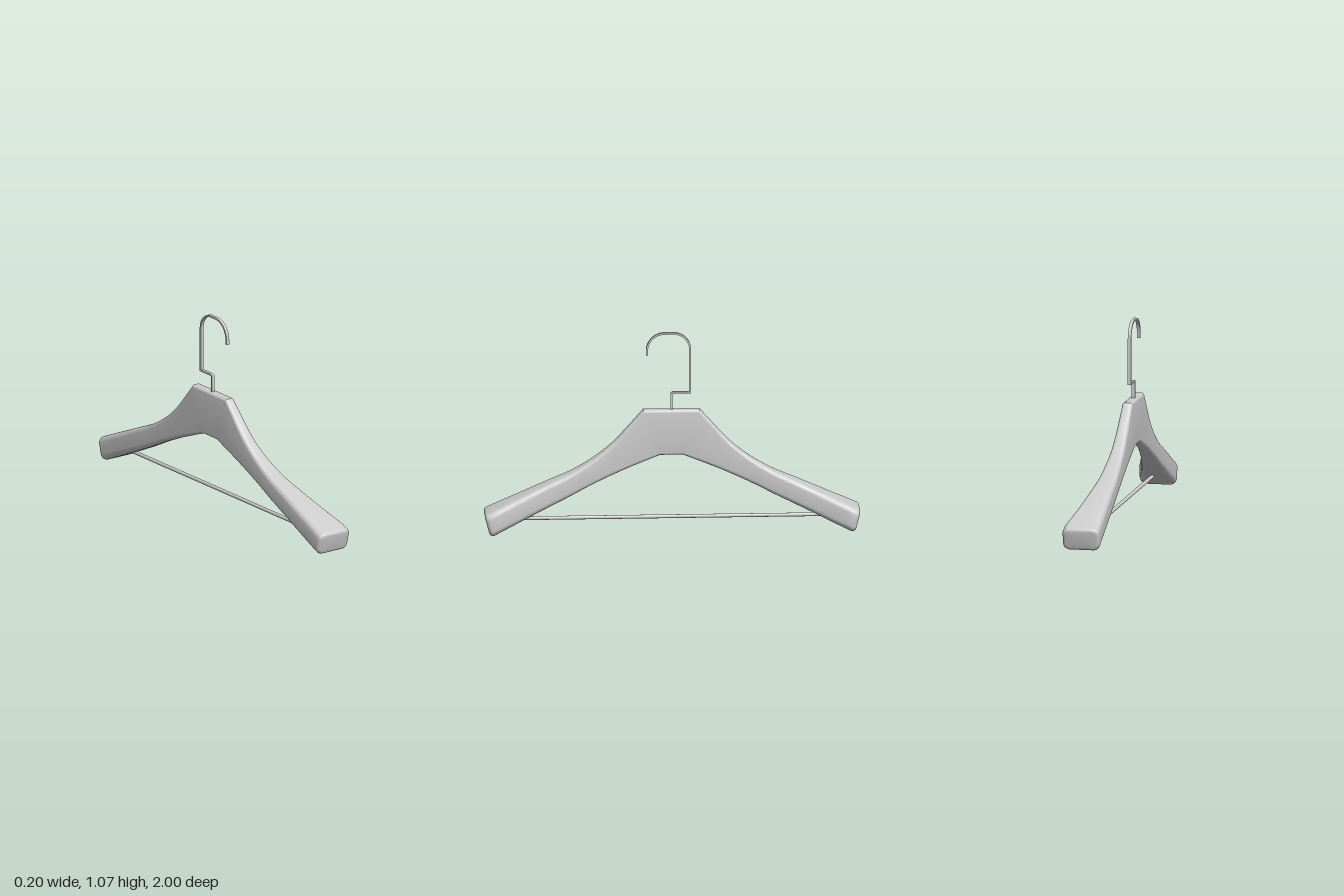
import * as THREE from 'three';
import { toCreasedNormals } from 'three/addons/utils/BufferGeometryUtils.js';

const BACK = -0.1;
const CORNER_STEPS = 6;
const CAP_ROUND = 0.02;

// Front face sweeps forward towards the shoulder tips.
const frontX = (z) => -0.05 + 0.15 * Math.pow(Math.min(Math.abs(z) / 0.95, 1), 1.85);

// Rounded cross-section between a top and a bottom point (z, y), counter-clockwise seen from +z.
function section(top, bottom, inset = 0, push = 0) {
  const up = top.clone().sub(bottom);
  const height = up.length();
  up.normalize();
  const out = new THREE.Vector2(up.y, -up.x);
  const r = 0.012 + 0.024 * top.x - inset;
  const ring = [];
  // corners: front top, back top, back bottom, front bottom
  [[1, 1], [-1, 1], [-1, -1], [1, -1]].forEach(([sx, sy], c) => {
    for (let i = 0; i <= CORNER_STEPS; i++) {
      const a = (c + i / CORNER_STEPS) * Math.PI / 2;
      const fromSide = inset + r - sx * r * Math.cos(a);
      const fromEdge = inset + r - sy * r * Math.sin(a);
      const v = sy > 0 ? height - fromEdge : fromEdge;
      const p = bottom.clone().addScaledVector(up, v);
      const x = sx > 0 ? frontX(p.x) - fromSide : BACK + fromSide;
      p.addScaledVector(out, push);
      ring.push(new THREE.Vector3(x, p.y, p.x));
    }
  });
  return ring;
}

// Mirror a ring in z, keeping its order.
const mirrored = (ring) => ring.map((p) => new THREE.Vector3(p.x, p.y, -p.z));

// Skin a list of rings that advance along +z and close both ends.
function loft(rings) {
  const n = rings[0].length;
  const points = rings.flat();
  const index = [];
  for (let i = 0; i < rings.length - 1; i++) {
    for (let j = 0; j < n; j++) {
      const k = (j + 1) % n;
      const a = i * n + j, b = i * n + k, c = b + n, d = a + n;
      index.push(a, b, d, b, c, d);
    }
  }
  [0, rings.length - 1].forEach((i) => {
    const centre = rings[i].reduce((s, p) => s.add(p), new THREE.Vector3()).divideScalar(n);
    const m = points.push(centre) - 1;
    for (let j = 0; j < n; j++) {
      const a = i * n + j, b = i * n + (j + 1) % n;
      if (i === 0) index.push(m, b, a);
      else index.push(m, a, b);
    }
  });
  const geometry = new THREE.BufferGeometry().setFromPoints(points);
  geometry.setIndex(index);
  return toCreasedNormals(geometry, 0.35);
}

// Wooden body: upper and lower outline of one arm, mirrored to the other.
function bodyGeometry() {
  const curve = (pts) => new THREE.SplineCurve(pts.map(([z, y]) => new THREE.Vector2(z, y)));
  const upper = curve([[0.15, 0.65], [0.22, 0.571], [0.3, 0.483], [0.38, 0.415], [0.46, 0.361],
    [0.55, 0.312], [0.65, 0.27], [0.8, 0.205], [0.9, 0.162], [0.985, 0.125]]);
  const lower = curve([[0.06, 0.4], [0.15, 0.365], [0.25, 0.325], [0.35, 0.282], [0.45, 0.236],
    [0.54, 0.191], [0.63, 0.149], [0.78, 0.08], [0.87, 0.038], [0.953, 0.001]]);
  const arm = [];
  const steps = 36;
  for (let i = 0; i <= steps; i++) {
    arm.push(section(upper.getPoint(i / steps), lower.getPoint(i / steps)));
  }
  // rounded edge around the tip
  for (let i = 1; i <= 6; i++) {
    const a = i / 6 * Math.PI / 2;
    arm.push(section(upper.getPoint(1), lower.getPoint(1),
      CAP_ROUND * (1 - Math.cos(a)), CAP_ROUND * Math.sin(a)));
  }
  return loft([...arm.map(mirrored).reverse(), ...arm]);
}

// Flat metal hook: a bent centre line thickened to a strip.
function hookGeometry() {
  const half = 0.005, width = 0.018;
  const path = new THREE.Path();
  path.moveTo(0, 0.62);
  path.lineTo(0, 0.73);
  path.quadraticCurveTo(0, 0.742, -0.012, 0.742);
  path.lineTo(-0.1, 0.742);
  path.lineTo(-0.1, 0.98);
  path.absarc(-0.01, 0.98, 0.09, Math.PI, Math.PI / 2, true);
  path.lineTo(0.035, 1.07);
  path.absarc(0.035, 0.975, 0.095, Math.PI / 2, 0, true);
  path.lineTo(0.13, 0.95);
  const pts = path.getPoints(14);
  const left = [], right = [];
  pts.forEach((p, i) => {
    const before = p.clone().sub(pts[Math.max(i - 1, 0)]).normalize();
    const after = pts[Math.min(i + 1, pts.length - 1)].clone().sub(p).normalize();
    const t = before.clone().add(after).normalize();
    const miter = half / Math.max(t.dot(i ? before : after), 0.5);
    const normal = new THREE.Vector2(-t.y, t.x).multiplyScalar(miter);
    left.push(p.clone().add(normal));
    right.push(p.clone().sub(normal));
  });
  const shape = new THREE.Shape([...left, ...right.reverse()]);
  const geometry = new THREE.ExtrudeGeometry(shape, { depth: width, bevelEnabled: false });
  geometry.rotateY(-Math.PI / 2);
  geometry.translate(-0.065, 0, 0);
  return toCreasedNormals(geometry, 0.5);
}

export function createModel() {
  const group = new THREE.Group();
  group.name = 'coatHanger';
  const material = new THREE.MeshStandardMaterial({ color: 0xcccccc });
  const add = (name, geometry) => {
    const mesh = new THREE.Mesh(geometry, material);
    mesh.name = name;
    group.add(mesh);
    return mesh;
  };

  add('body', bodyGeometry());
  add('hook', hookGeometry());

  // Trouser bar running between the arms
  const bar = add('trouserBar', new THREE.CylinderGeometry(0.01, 0.01, 1.68, 20));
  bar.rotation.x = Math.PI / 2;
  bar.position.set(-0.006, 0.075, 0);

  return group;
}
